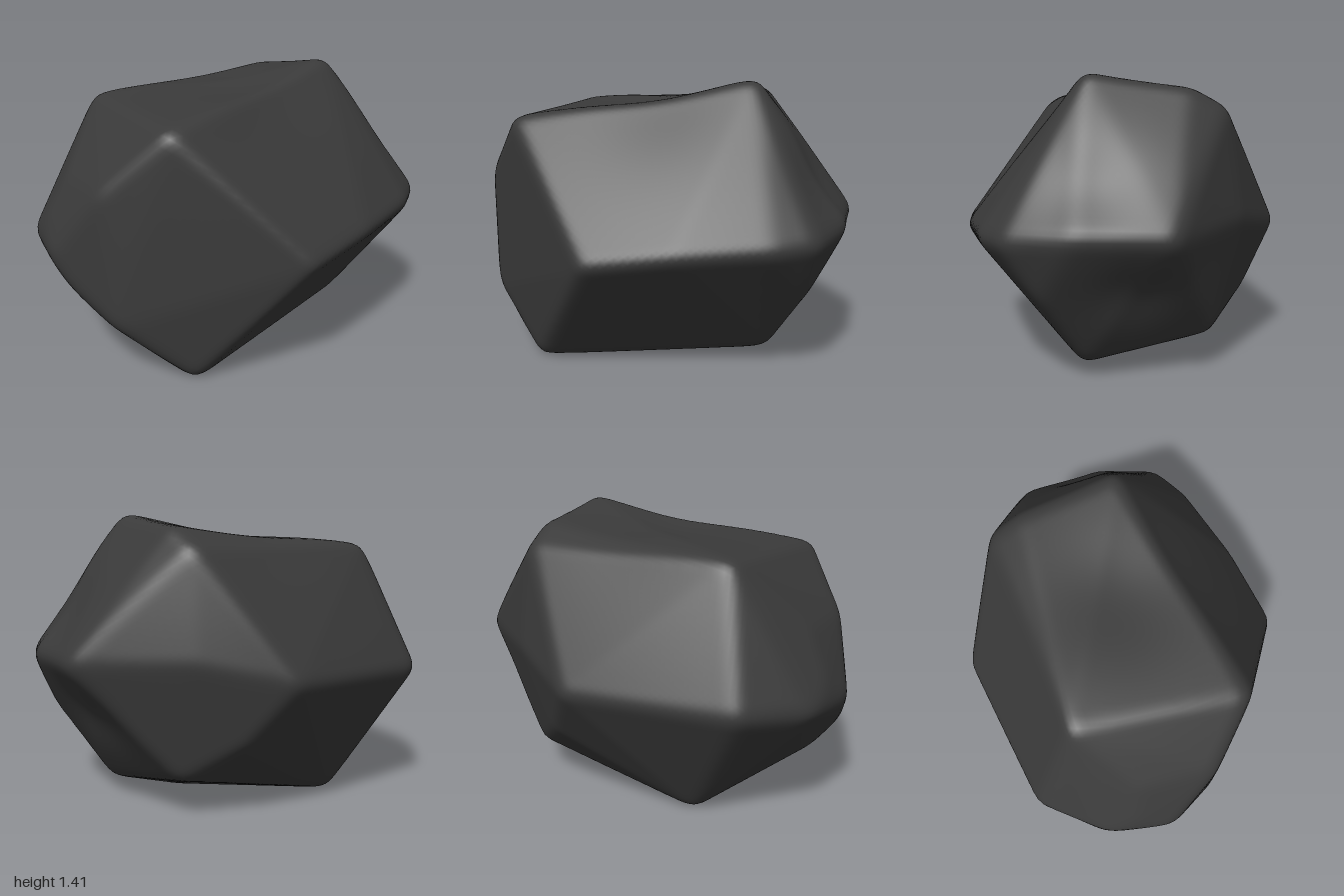
import * as THREE from 'three';
import { mergeVertices } from 'three/addons/utils/BufferGeometryUtils.js';
import { ConvexGeometry } from 'three/addons/geometries/ConvexGeometry.js';

const CORE = new THREE.Vector3(0, 0.68, 0);

// Main corners of the boulder
const CORNERS = [
  // upper facet
  [-0.58, 1.22, 0.48], [0.54, 1.42, 0.07], [0.45, 1.345, -0.41], [0.41, 1.25, -0.57], [-0.6, 1.26, -0.35],
  // widest belt, right side round to the back
  [-0.02, 0.61, 0.82], [0.36, 0.66, 0.7], [0.77, 0.69, 0.52], [0.94, 0.71, 0.38],
  [1.01, 0.74, 0.04], [0.94, 0.73, -0.38], [0.6, 0.98, -0.49], [0.42, 0.74, -0.65],
  [0, 0.65, -0.82], [-0.79, 0.64, -0.58],
  // blunt left end
  [-0.99, 0.61, -0.27], [-0.97, 0.72, -0.12], [-1.01, 0.6, 0.06], [-0.96, 0.47, 0.12],
  [-0.86, 0.93, -0.08], [-0.84, 0.94, 0.29], [-0.8, 0.26, 0.12], [-0.8, 0.28, 0.34],
  // underside
  [-0.47, -0.01, 0.48], [0.28, 0, 0], [0.62, 0.07, 0.07], [0.85, 0.42, 0.22],
  [0.45, 0.19, -0.51], [0.2, 0.37, -0.67], [-0.42, -0.005, -0.36],
].map((c) => new THREE.Vector3(...c).sub(CORE));

// Shallow hollows: dip along the top, two on the right end
const HOLLOWS = [
  { at: new THREE.Vector3(0.06, 1.33, 0), radius: 0.4, depth: 0.05 },
  { at: new THREE.Vector3(0.86, 0.92, 0), radius: 0.22, depth: 0.035 },
  { at: new THREE.Vector3(0.82, 0.45, -0.2), radius: 0.2, depth: 0.035 },
];

// Facet planes of the hull around the core
function facetPlanes() {
  const p = new ConvexGeometry(CORNERS).attributes.position;
  const planes = [];
  for (let i = 0; i < p.count; i += 3) {
    const [a, b, c] = [0, 1, 2].map((k) => new THREE.Vector3().fromBufferAttribute(p, i + k));
    planes.push(new THREE.Plane().setFromCoplanarPoints(a, b, c));
  }
  return planes;
}

// Distance from the core to the hull along a direction
function hullRadius(planes, dir) {
  let r = Infinity;
  for (const { normal, constant } of planes) {
    const d = normal.dot(dir);
    if (d > 1e-6) r = Math.min(r, -constant / d);
  }
  return r;
}

function boulderGeometry() {
  const planes = facetPlanes();
  let geo = new THREE.IcosahedronGeometry(1, 40);
  geo.deleteAttribute('uv');
  geo.deleteAttribute('normal');
  geo = mergeVertices(geo, 1e-5);
  const pos = geo.attributes.position;
  const dir = new THREE.Vector3(), u = new THREE.Vector3(), v = new THREE.Vector3();
  const probe = new THREE.Vector3(), point = new THREE.Vector3();

  for (let i = 0; i < pos.count; i++) {
    dir.fromBufferAttribute(pos, i).normalize();
    u.set(0, 1, 0);
    if (Math.abs(dir.y) > 0.9) u.set(1, 0, 0);
    u.cross(dir).normalize();
    v.crossVectors(dir, u);

    // average over a small cone to wear down the edges
    let sum = 2 * hullRadius(planes, dir), n = 2;
    for (const spread of [0.03, 0.06]) {
      for (let k = 0; k < 8; k++, n++) {
        const a = (k * Math.PI) / 4;
        probe.copy(dir).addScaledVector(u, spread * Math.cos(a)).addScaledVector(v, spread * Math.sin(a));
        sum += hullRadius(planes, probe.normalize());
      }
    }
    point.copy(CORE).addScaledVector(dir, sum / n);

    // press in the hollows
    let press = 0;
    for (const { at, radius, depth } of HOLLOWS) {
      press += depth * Math.exp(-point.distanceToSquared(at) / (radius * radius));
    }
    point.addScaledVector(dir, -press);
    pos.setXYZ(i, point.x, point.y, point.z);
  }

  // rest on the ground
  geo.computeBoundingBox();
  geo.translate(0, -geo.boundingBox.min.y, 0);
  geo.computeVertexNormals();
  return geo;
}

export function createModel() {
  const group = new THREE.Group();
  group.name = 'rock';
  const boulder = new THREE.Mesh(boulderGeometry(), new THREE.MeshStandardMaterial({ color: 0x3a3a3a }));
  boulder.name = 'boulder';
  group.add(boulder);
  return group;
}
